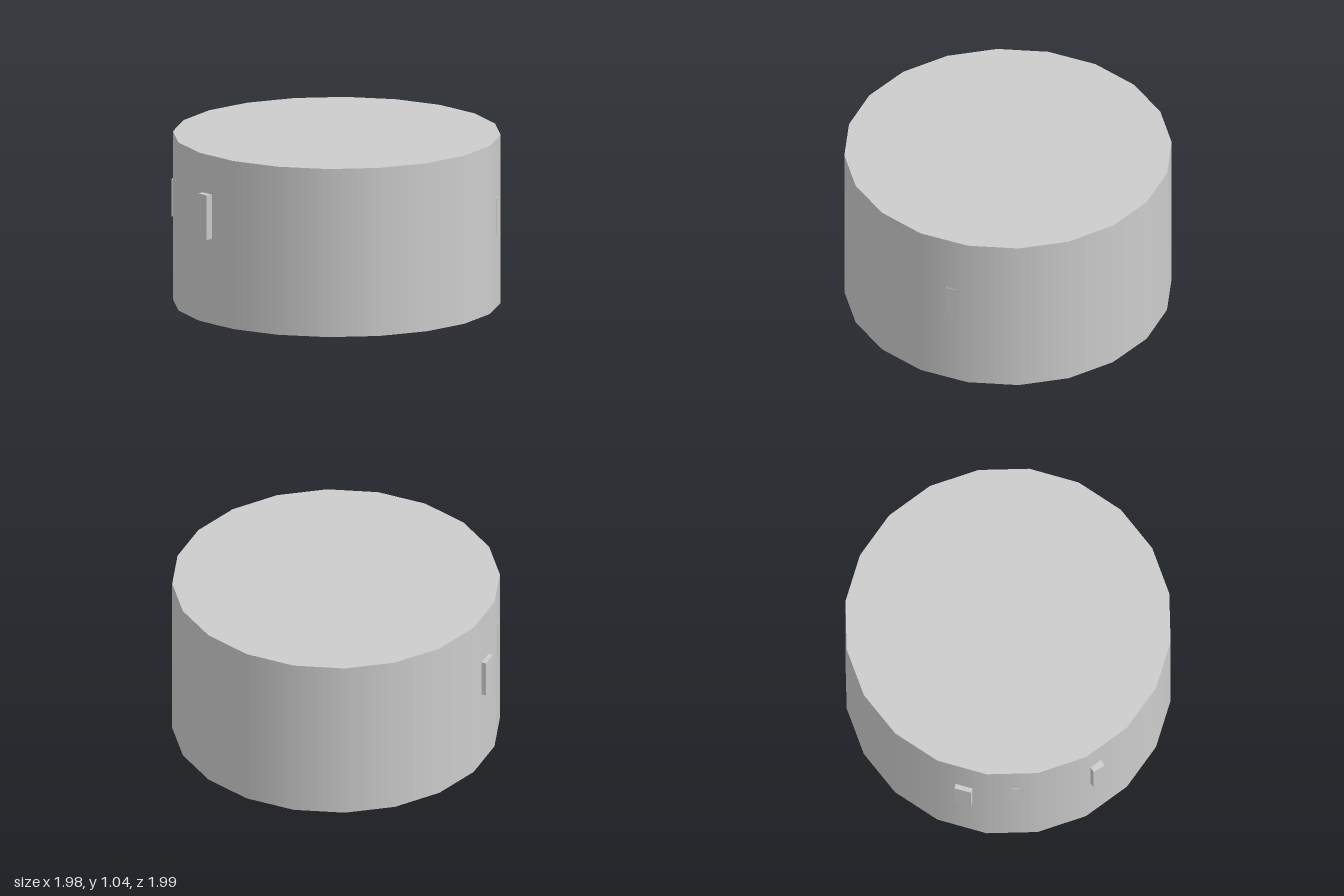
import * as THREE from 'three';

export function createModel() {
  const model = new THREE.Group();
  const grey = new THREE.MeshStandardMaterial({ color: 0xcccccc, side: THREE.DoubleSide });
  grey.name = 'light grey';
  const body = new THREE.Group();
  body.name = 'drum';
  body.position.z = -0.01;
  model.add(body);

  let seed = 7;
  const rand = (a, b) => {
    seed = (seed * 16807) % 2147483647;
    return a + (b - a) * (seed / 2147483647);
  };
  const add = (name, geometry, x, y, z, parent = body) => {
    const mesh = new THREE.Mesh(geometry, grey);
    mesh.name = name;
    mesh.position.set(x, y, z);
    parent.add(mesh);
    return mesh;
  };
  // open-bottomed round wall with a flat lid
  const drum = (name, radius, bottom, top, sides) => {
    const h = top - bottom;
    add(name + 'Wall', new THREE.CylinderGeometry(radius, radius, h, sides, 1, true), 0, bottom + h / 2, 0);
    const lid = new THREE.CircleGeometry(radius, sides).rotateX(-Math.PI / 2);
    if (sides === 20) lid.rotateY(Math.PI / 2);
    add(name + 'Lid', lid, 0, top, 0);
  };

  // outer shell and the smaller chamber hanging in it
  drum('outer', 0.99, 0, 1.04, 20);
  drum('inner', 0.61, 0.51, 0.82, 40);
  const lip = new THREE.RingGeometry(0.6, 0.615, 40).rotateX(Math.PI / 2);
  add('innerLip', lip, 0, 0.51, 0);

  // ring of blocks: angle in degrees, outer radius, width, bottom, height
  const blocks = [
    [-13.8, 1.02, 0.08, 0.525, 0.275], [-42.3, 0.98, 0.09, 0.545, 0.23],
    [-62.2, 1.007, 0.105, 0.49, 0.23], [120, 0.982, 0.07, 0.455, 0.225],
    [26, 0.94, 0.08, 0.5, 0.24], [14, 0.93, 0.1, 0.47, 0.25],
    [2, 0.9, 0.08, 0.49, 0.24], [-7, 0.92, 0.08, 0.48, 0.24],
    [-22, 0.87, 0.07, 0.47, 0.25], [-27, 0.93, 0.06, 0.48, 0.24],
    [-36, 0.92, 0.08, 0.48, 0.25], [-56, 0.88, 0.07, 0.5, 0.23],
    [-68, 0.86, 0.07, 0.5, 0.24], [-77, 0.92, 0.09, 0.5, 0.25], [-92, 0.94, 0.09, 0.5, 0.24],
  ];
  for (let a = 36; a < 260; a += 9) {
    if (Math.abs(a - 120) < 6) continue;
    blocks.push([a + rand(-2, 2), rand(0.84, 0.96), rand(0.07, 0.1), rand(0.46, 0.53), rand(0.22, 0.27)]);
  }
  const ring = new THREE.Group();
  ring.name = 'blockRing';
  body.add(ring);
  for (const [deg, r, w, bottom, h] of blocks) {
    const a = THREE.MathUtils.degToRad(deg), c = r - 0.04;
    const block = add('block', new THREE.BoxGeometry(w, h, 0.08), c * Math.sin(a), bottom + h / 2, c * Math.cos(a), ring);
    block.rotation.y = a;
  }

  // round posts inside the chamber: angle in degrees, distance from centre
  const posts = [
    [-8, 0.53], [-11, 0.35], [-53, 0.44], [-42, 0.38], [-30, 0.3], [11, 0.45],
    [50, 0.4], [-65, 0.38], [-100, 0.38], [-119, 0.45],
  ];
  for (let a = 75; a < 235; a += 20) posts.push([a + rand(-6, 6), rand(0.32, 0.52)]);
  const cluster = new THREE.Group();
  cluster.name = 'posts';
  body.add(cluster);
  for (const [deg, r] of posts) {
    const a = THREE.MathUtils.degToRad(deg);
    add('post', new THREE.CylinderGeometry(0.036, 0.036, 0.32, 16), r * Math.sin(a), 0.61, r * Math.cos(a), cluster);
  }
  return model;
}
